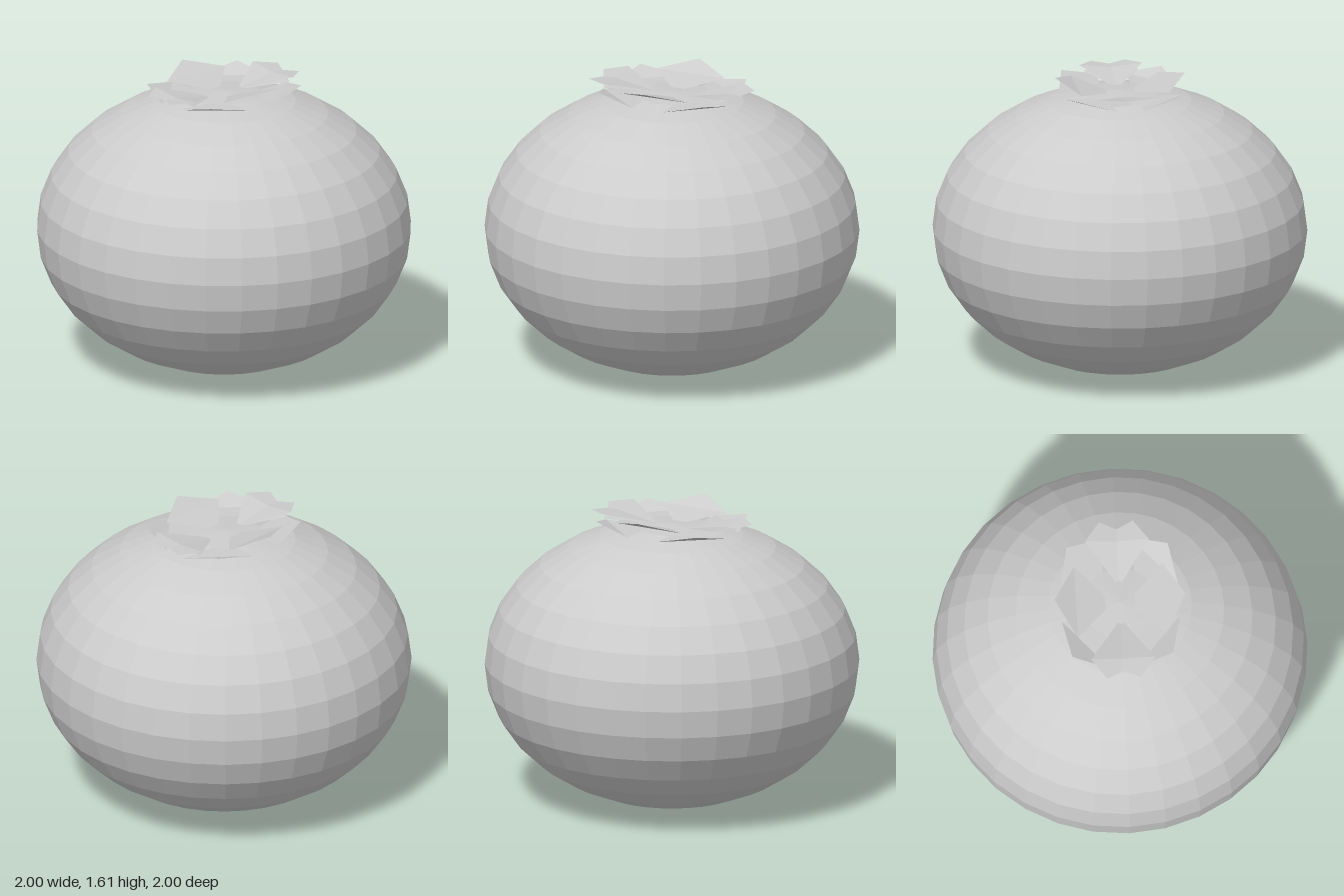
import * as THREE from 'three';

const bodyMaterial = new THREE.MeshStandardMaterial({ color: 0xcccccc, flatShading: true });
const leafMaterial = new THREE.MeshStandardMaterial({ color: 0xcccccc, flatShading: true, side: THREE.DoubleSide });

// Kite-shaped leaf, creased between its two side corners; sx and sz mirror it
function leaf(name, [base, left, tip, right], sx, sz) {
  const corners = [base, left, right, left, tip, right];
  // Keep the upper face wound outward when mirrored
  if (sx * sz < 0) corners.reverse();
  const points = corners.map(([x, y, z]) => [x * sx, y, z * sz]).flat();
  const geometry = new THREE.BufferGeometry();
  geometry.setAttribute('position', new THREE.Float32BufferAttribute(points, 3));
  geometry.computeVertexNormals();
  const mesh = new THREE.Mesh(geometry, leafMaterial);
  mesh.name = name;
  return mesh;
}

export function createModel() {
  const model = new THREE.Group();
  model.name = 'fruit';

  // Squashed round body
  const body = new THREE.Mesh(new THREE.SphereGeometry(1, 32, 16), bodyMaterial);
  body.name = 'fruitBody';
  body.scale.y = 0.765;
  body.position.y = 0.765;
  model.add(body);

  // Leaf corners: base, side, tip, side
  const middle = [[0, 1.515, 0.04], [-0.2, 1.56, 0.235], [0, 1.61, 0.35], [0.2, 1.56, 0.235]];
  const diagonal = [[0.09, 1.515, 0.09], [0.09, 1.515, 0.315], [0.31, 1.56, 0.27], [0.37, 1.515, 0.07]];
  const side = [[0.09, 1.515, 0], [0.335, 1.575, 0.17], [0.445, 1.565, 0.09], [0.33, 1.545, -0.15]];

  // Calyx: front and back leaves, with mirrored diagonal and overlapping side leaves
  const calyx = new THREE.Group();
  calyx.name = 'calyx';
  for (const sz of [1, -1]) {
    calyx.add(leaf('middleLeaf', middle, 1, sz));
    for (const sx of [1, -1]) {
      calyx.add(leaf('diagonalLeaf', diagonal, sx, sz));
      calyx.add(leaf('sideLeaf', side, sx, sz));
    }
  }
  model.add(calyx);
  return model;
}
